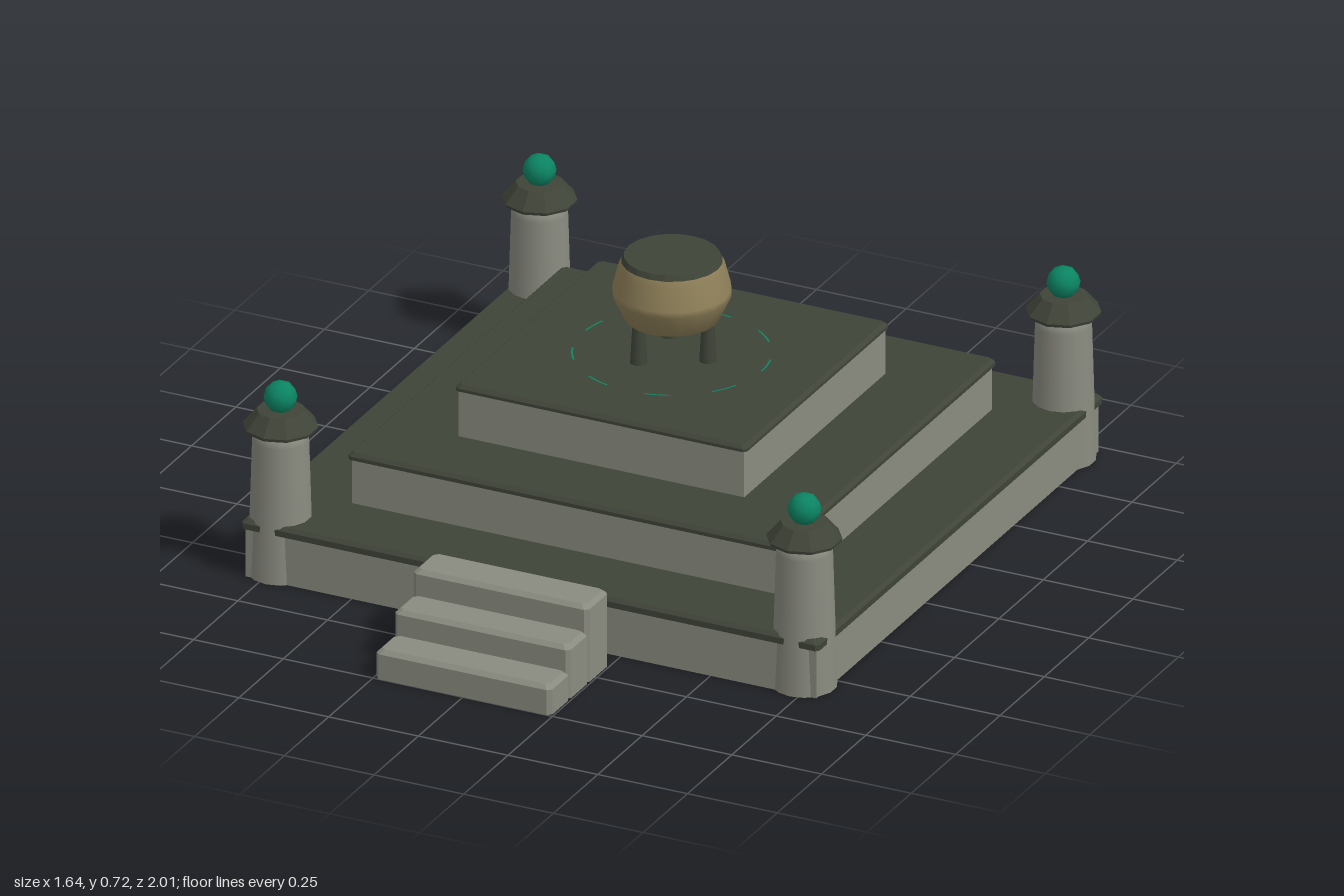
import * as THREE from 'three';

const mat = (name, color, side = THREE.FrontSide) => {
  const m = new THREE.MeshStandardMaterial({ color, side });
  m.name = name;
  return m;
};

// Box with chamfered corners and top edge, standing on y = 0; the underside is optional
function chamferBox(w, h, d, b, floor) {
  const outline = (inset) => {
    const x = w / 2 - inset, z = d / 2 - inset;
    return [[x, z - b], [x, b - z], [x - b, -z], [b - x, -z], [-x, b - z], [-x, z - b], [b - x, z], [x - b, z]];
  };
  const rings = [[0, 0], [h - b, 0], [h, b]].map(([y, inset]) => outline(inset).map(([x, z]) => [x, y, z]));
  const pos = [];
  const tri = (...p) => p.forEach((v) => pos.push(...v));
  for (let r = 0; r < 2; r++) {
    for (let i = 0; i < 8; i++) {
      const j = (i + 1) % 8;
      const [a, c, e, f] = [rings[r][i], rings[r][j], rings[r + 1][j], rings[r + 1][i]];
      tri(a, c, e);
      tri(a, e, f);
    }
  }
  for (let i = 1; i < 7; i++) {
    tri(rings[2][0], rings[2][i], rings[2][i + 1]);
    if (floor) tri(rings[0][0], rings[0][i + 1], rings[0][i]);
  }
  const g = new THREE.BufferGeometry();
  g.setAttribute('position', new THREE.Float32BufferAttribute(pos, 3));
  g.computeVertexNormals();
  return g;
}

const lathe = (points, sides) => new THREE.LatheGeometry(points.map(([x, y]) => new THREE.Vector2(x, y)), sides);

function faceted(g) {
  const f = g.index ? g.toNonIndexed() : g;
  f.computeVertexNormals();
  return f;
}

export function createModel() {
  const stone = mat('grey stone', 0x8a8b80, THREE.DoubleSide);
  const slate = mat('dark slate', 0x3f4438);
  const jade = mat('jade green', 0x0b8463);
  const bronze = mat('bronze', 0x8f8059);

  const model = new THREE.Group();
  model.name = 'steppedAltar';
  const add = (parent, name, geometry, material, x = 0, y = 0, z = 0) => {
    const m = new THREE.Mesh(geometry, material);
    m.name = name;
    m.position.set(x, y, z);
    parent.add(m);
    return m;
  };

  const altar = new THREE.Group();
  altar.name = 'altar';
  altar.position.z = -0.18;
  model.add(altar);

  // Three tiers: hollow stone walls under dark slabs
  [[0.795, 0.805, 0, 0.135, 0.16], [0.597, 0.606, 0.16, 0.283, 0.302], [0.398, 0.406, 0.302, 0.43, 0.447]]
    .forEach(([wall, slab, y0, y1, y2], i) => {
      const walls = new THREE.BoxGeometry(wall * 2, y1 - y0, wall * 2);
      // keep only the four sides
      const idx = Array.from(walls.index.array);
      walls.setIndex([...idx.slice(0, 12), ...idx.slice(24)]);
      walls.clearGroups();
      add(altar, `tierWalls${i + 1}`, walls, stone, 0, (y0 + y1) / 2, 0);
      add(altar, `tierSlab${i + 1}`, chamferBox(slab * 2, y2 - y1, slab * 2, 0.009, true), slate, 0, y1, 0);
    });

  // Corner pillars with caps and finials
  const shaft = lathe([[0.084, 0], [0.073, 0.37], [0.07, 0.385], [0.06, 0.403]], 14);
  const cap = faceted(lathe([[0, 0.4], [0.094, 0.4], [0.096, 0.408], [0.06, 0.45], [0, 0.452]], 10));
  const finial = new THREE.IcosahedronGeometry(0.043, 1);
  for (const sx of [-1, 1]) {
    for (const sz of [-1, 1]) {
      const pillar = new THREE.Group();
      pillar.name = `${sz > 0 ? 'front' : 'back'}${sx > 0 ? 'Left' : 'Right'}Pillar`;
      pillar.position.set(sx * 0.73, 0, sz * 0.73);
      altar.add(pillar);
      add(pillar, 'shaft', shaft, stone);
      add(pillar, 'cap', cap, slate);
      add(pillar, 'finial', finial, jade, 0, 0.484, 0);
    }
  }

  // Cauldron on three legs
  const cauldron = new THREE.Group();
  cauldron.name = 'cauldron';
  altar.add(cauldron);
  add(cauldron, 'bowl', lathe([[0, 0.538], [0.09, 0.538], [0.12, 0.548], [0.15, 0.612], [0.15, 0.628], [0.134, 0.69], [0.128, 0.704]], 20), bronze);
  add(cauldron, 'rim', faceted(lathe([[0.129, 0.7], [0.121, 0.718], [0, 0.718]], 20)), slate);
  for (let i = 0; i < 3; i++) {
    const a = (i * Math.PI * 2) / 3;
    add(cauldron, `leg${i + 1}`, new THREE.CylinderGeometry(0.016, 0.023, 0.12, 8), slate, Math.cos(a) * 0.1, 0.505, Math.sin(a) * 0.1);
  }

  // Broken inlaid ring around the cauldron
  for (let i = 0; i < 9; i++) {
    const arc = new THREE.RingGeometry(0.247, 0.252, 5, 1, (i * Math.PI * 2) / 9, 0.28);
    add(altar, `inlayArc${i + 1}`, arc.rotateX(-Math.PI / 2), jade, 0, 0.4485, 0);
  }

  // Front stairs, hollow underneath
  const stairs = new THREE.Group();
  stairs.name = 'stairs';
  model.add(stairs);
  [[0.89, 1.0, 0.08], [0.785, 0.895, 0.145], [0.67, 0.79, 0.212]].forEach(([z0, z1, h], i) => {
    add(stairs, `step${i + 1}`, chamferBox(0.49, h, z1 - z0, 0.011, false), stone, 0, 0, (z0 + z1) / 2);
  });

  return model;
}
